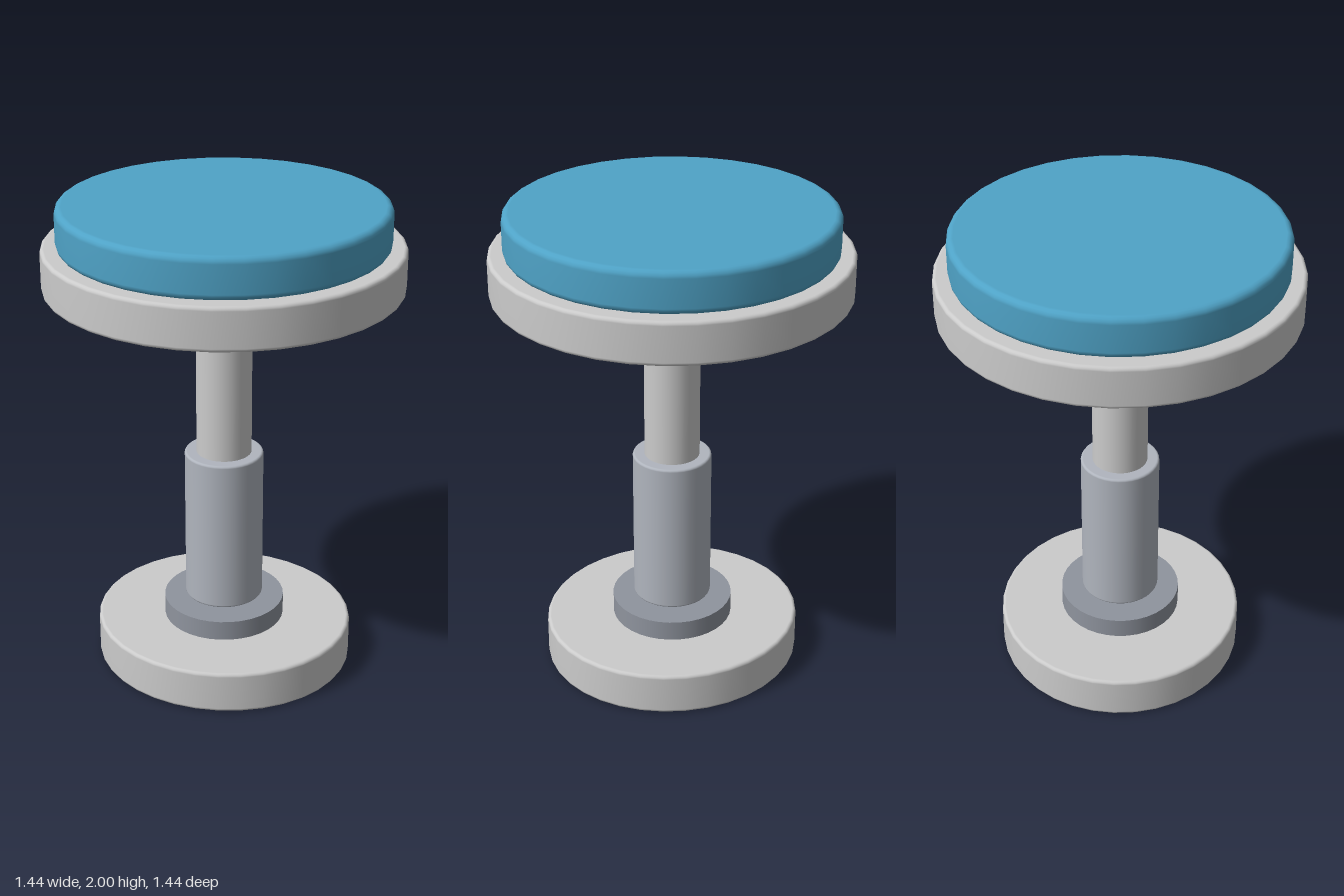
import * as THREE from 'three';

const SEGMENTS = 36;

// Solid disc or post with rounded edges; flat faces and wall keep clean normals.
function roundedDisc(name, radius, y0, y1, bevel, color = 0xcccccc) {
  const profile = [new THREE.Vector2(0, y0), new THREE.Vector2(radius - bevel, y0)];
  const corner = (cy, start) => {
    for (let i = 0; i <= 4; i++) {
      const a = start + (i / 4) * Math.PI / 2;
      profile.push(new THREE.Vector2(radius - bevel + Math.cos(a) * bevel, cy + Math.sin(a) * bevel));
    }
  };
  corner(y0 + bevel, -Math.PI / 2);
  corner(y1 - bevel, 0);
  profile.push(new THREE.Vector2(radius - bevel, y1), new THREE.Vector2(0, y1));
  // drop coincident points where the arcs meet the flat faces
  const points = profile.filter((p, i) => i === 0 || p.distanceTo(profile[i - 1]) > 1e-5);
  const mesh = new THREE.Mesh(
    new THREE.LatheGeometry(points, SEGMENTS),
    new THREE.MeshStandardMaterial({ color })
  );
  mesh.name = name;
  return mesh;
}

// Straight cylinder with crisp edges.
function cylinder(name, radius, y0, y1, color = 0xcccccc) {
  const mesh = new THREE.Mesh(
    new THREE.CylinderGeometry(radius, radius, y1 - y0, SEGMENTS),
    new THREE.MeshStandardMaterial({ color })
  );
  mesh.position.y = (y0 + y1) / 2;
  mesh.name = name;
  return mesh;
}

export function createModel() {
  const stool = new THREE.Group();
  stool.name = 'stool';

  // Foot: slightly oval base plate with a collar on top
  const base = roundedDisc('base', 0.542, 0, 0.18, 0.015);
  base.scale.z = 0.95;
  stool.add(base);
  stool.add(cylinder('baseCollar', 0.253, 0.175, 0.265, 0x8f949e));

  // Telescopic column: outer sleeve and inner post
  stool.add(roundedDisc('columnSleeve', 0.163, 0.28, 0.94, 0.01, 0xb0b5be));
  stool.add(cylinder('columnPost', 0.114, 0.9, 1.68));

  // Seat: supporting pan and padded cushion
  stool.add(roundedDisc('seatPan', 0.718, 1.66, 1.835, 0.016));
  stool.add(roundedDisc('seatCushion', 0.657, 1.83, 2, 0.028, 0x4fa3c7));

  return stool;
}
